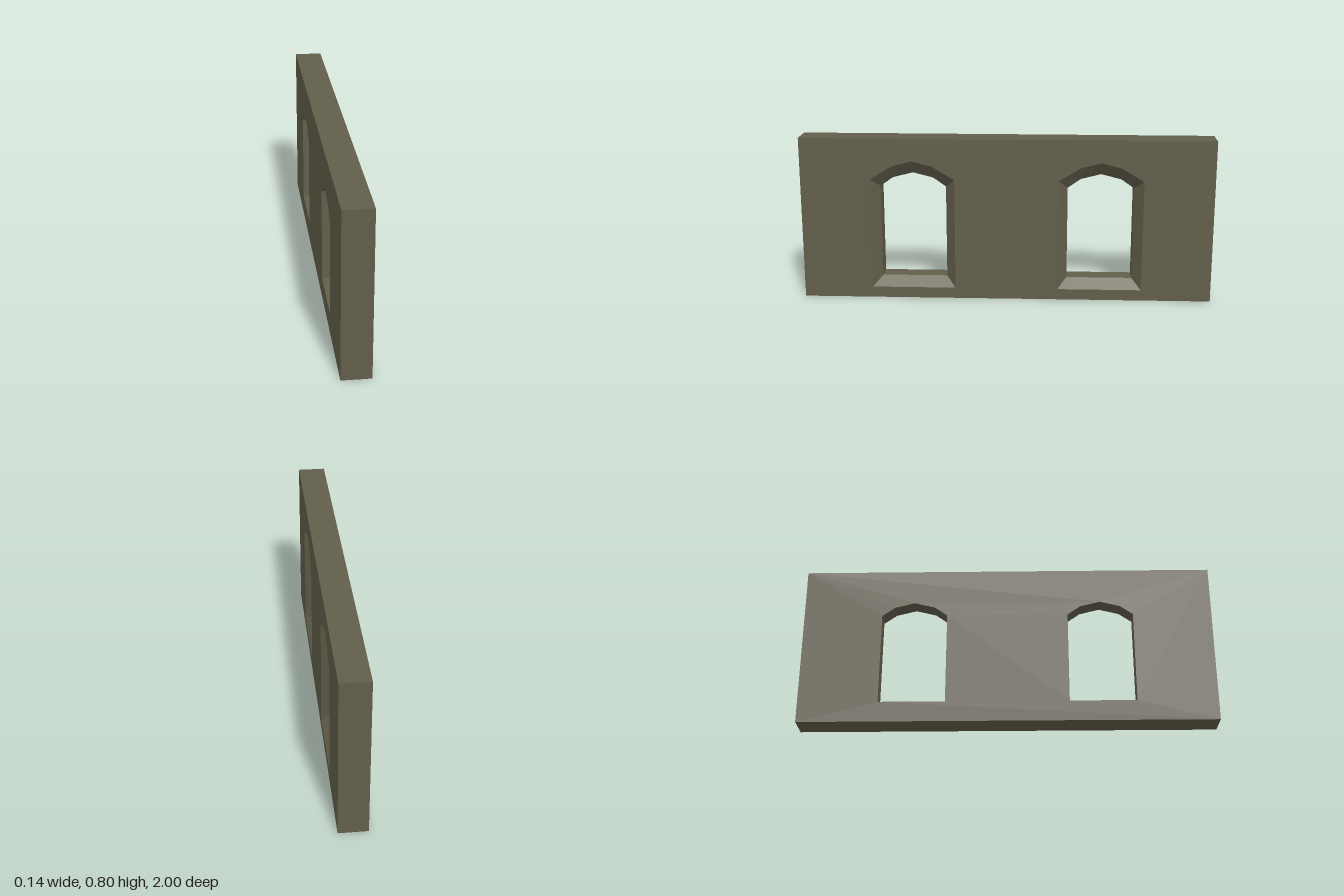
import * as THREE from 'three';
import { mergeGeometries, toCreasedNormals } from 'three/addons/utils/BufferGeometryUtils.js';

const BACK = -0.069, FRONT = 0.068, FOLD = 0.018; // depths across the wall
const HALF = 1, HEIGHT = 0.8;
const CENTRES = [-0.456, 0.456];

// Counter-clockwise outline of a window with a five-point arched head
function windowLoop(cx, halfWidth, sill, spring, haunch, apex) {
  return [
    [-halfWidth, sill], [halfWidth, sill], [halfWidth, spring],
    [0.098, haunch], [0, apex], [-0.098, haunch], [-halfWidth, spring],
  ].map(([u, v]) => new THREE.Vector2(cx + u, v));
}
const wideLoop = (cx) => windowLoop(cx, 0.205, 0.053, 0.599, 0.664, 0.69);
const narrowLoop = (cx) => windowLoop(cx, 0.16, 0.1, 0.556, 0.6, 0.625);

const wallLoop = [[-HALF, 0], [HALF, 0], [HALF, HEIGHT], [-HALF, HEIGHT]]
  .map(([u, v]) => new THREE.Vector2(u, v));

// Band of quads joining two loops at different depths
function band(loopA, depthA, loopB, depthB) {
  const points = [];
  loopA.forEach((a, i) => {
    const j = (i + 1) % loopA.length;
    const a0 = [a.x, a.y, depthA], a1 = [loopA[j].x, loopA[j].y, depthA];
    const b0 = [loopB[i].x, loopB[i].y, depthB], b1 = [loopB[j].x, loopB[j].y, depthB];
    points.push(...a0, ...a1, ...b1, ...a0, ...b1, ...b0);
  });
  const geometry = new THREE.BufferGeometry();
  geometry.setAttribute('position', new THREE.Float32BufferAttribute(points, 3));
  return geometry;
}

// Flat wall face pierced by the windows
function face(holeLoop, depth, reversed) {
  const shape = new THREE.Shape(wallLoop);
  CENTRES.forEach((cx) => shape.holes.push(new THREE.Path(holeLoop(cx).reverse())));
  const geometry = new THREE.ShapeGeometry(shape).translate(0, 0, depth);
  if (reversed) geometry.index.array.reverse();
  const flat = geometry.toNonIndexed();
  flat.deleteAttribute('uv');
  flat.deleteAttribute('normal');
  return flat;
}

// Merge pieces, keep sharp corners and turn the broad face to +x
function finish(name, pieces, material) {
  const merged = mergeGeometries(pieces);
  merged.computeVertexNormals();
  const mesh = new THREE.Mesh(toCreasedNormals(merged, 0.6).rotateY(Math.PI / 2), material);
  mesh.name = name;
  return mesh;
}

export function createModel() {
  const group = new THREE.Group();
  group.name = 'archedWindowWall';
  const stone = new THREE.MeshStandardMaterial({ color: 0x625e4b });
  stone.name = 'olive stone';

  // Wall faces and outer edges
  const rim = [...wallLoop].reverse();
  group.add(finish('wall', [
    face(wideLoop, FRONT, false),
    face(narrowLoop, BACK, true),
    band(rim, FRONT, rim, BACK),
  ], stone));

  // Splayed then straight lining of each opening
  CENTRES.forEach((cx, i) => {
    const wide = wideLoop(cx), narrow = narrowLoop(cx);
    group.add(finish(i ? 'rearWindowReveal' : 'frontWindowReveal', [
      band(wide, FRONT, narrow, FOLD),
      band(narrow, FOLD, narrow, BACK),
    ], stone));
  });
  return group;
}
